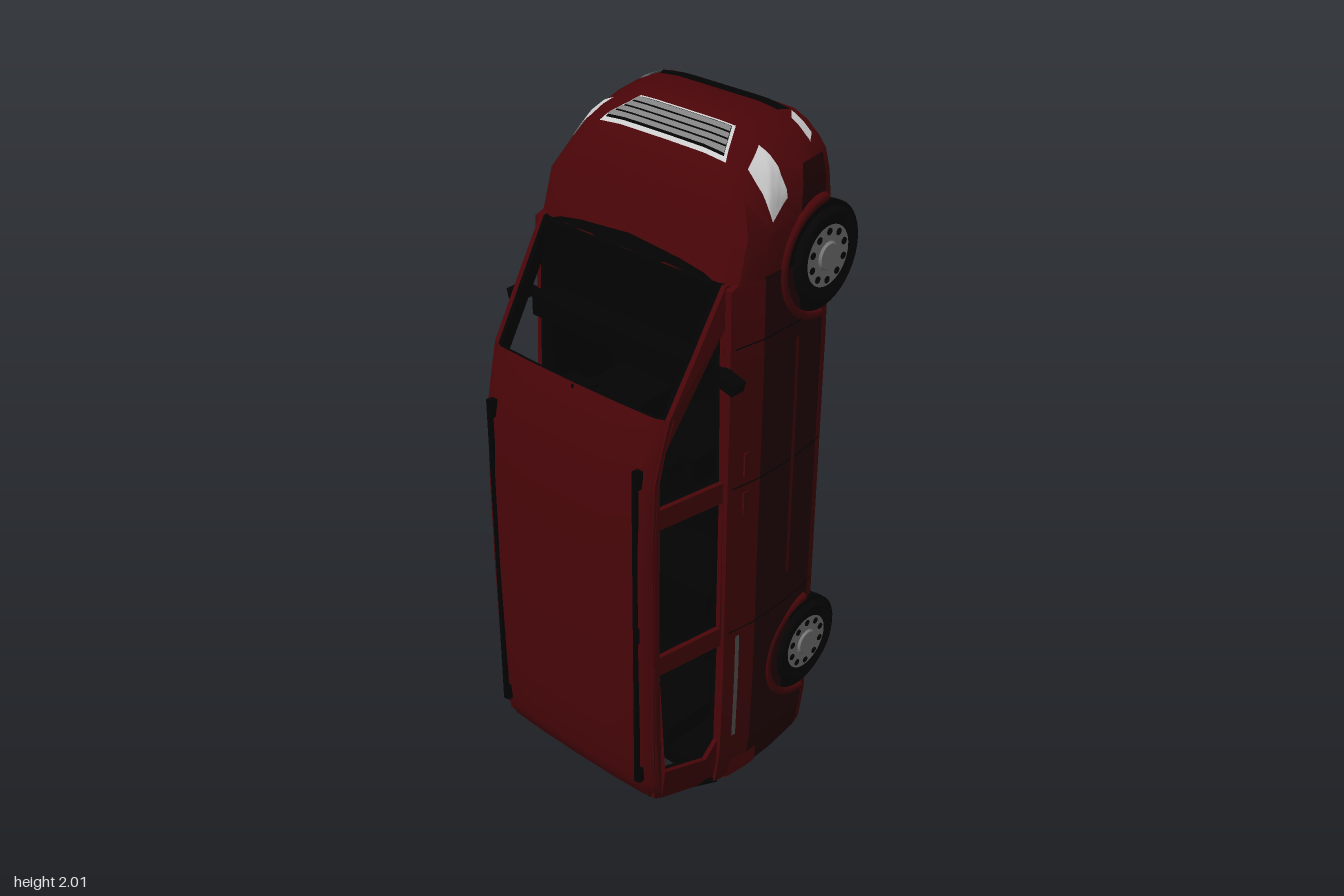
import * as THREE from 'three';
import { toCreasedNormals } from 'three/addons/utils/BufferGeometryUtils.js';

const paint = (name, color) => {
  const m = new THREE.MeshStandardMaterial({ color, side: THREE.DoubleSide });
  m.name = name;
  return m;
};
const { lerp, clamp } = THREE.MathUtils;

export function createModel() {
  const red = paint('bodyRed', 0x480508), darkRed = paint('sillDarkRed', 0x280305);
  const black = paint('trimBlack', 0x030303), tyreMat = paint('tyreBlack', 0x050505);
  const silver = paint('wheelSilver', 0x828282), railGrey = paint('railGrey', 0x5a5857);
  const lampMat = paint('lampWhite', 0xcacaca), lampRed = paint('tailLampRed', 0x58080a);
  const model = new THREE.Group();
  model.name = 'minivan';

  const add = (name, geo, mat, x = 0, y = 0, z = 0, parent = model) => {
    const mesh = new THREE.Mesh(geo, mat);
    mesh.name = name;
    mesh.position.set(x, y, z);
    parent.add(mesh);
    return mesh;
  };
  const box = (name, mat, w, h, d, x, y, z) => add(name, new THREE.BoxGeometry(w, h, d), mat, x, y, z);

  // Skin over a row of cross-sections; keep(i, j) picks the faces
  const skin = (rings, closed, keep = () => true) => {
    const pos = [], n = rings[0].length;
    for (let i = 0; i < rings.length - 1; i++) {
      for (let j = 0; j < (closed ? n : n - 1); j++) {
        if (!keep(i, j)) continue;
        const k = (j + 1) % n;
        const a = rings[i][j], b = rings[i][k], c = rings[i + 1][k], d = rings[i + 1][j];
        pos.push(...a, ...b, ...c, ...a, ...c, ...d);
      }
    }
    const geo = new THREE.BufferGeometry();
    geo.setAttribute('position', new THREE.Float32BufferAttribute(pos, 3));
    return toCreasedNormals(geo, 0.6);
  };

  // Lower body: length position, half width, bottom, top, open cabin?
  const stations = [
    [0.0, 0.12, -0.27, -0.215], [0.015, 0.2, -0.28, -0.2], [0.035, 0.28, -0.285, -0.19],
    [0.045, 0.312, -0.285, -0.17], [0.055, 0.325, -0.285, 0.0], [0.066, 0.336, -0.285, 0.105],
    [0.074, 0.34, -0.285, 0.105, 1], [0.105, 0.346, -0.285, 0.105, 1], [0.2, 0.358, -0.285, 0.105, 1],
    [0.45, 0.363, -0.285, 0.105, 1], [1.4, 0.363, -0.285, 0.105, 1], [1.66, 0.359, -0.285, 0.105, 1],
    [1.67, 0.358, -0.285, 0.11], [1.78, 0.355, -0.285, 0.078], [1.86, 0.345, -0.285, 0.043],
    [1.91, 0.33, -0.285, 0.008], [1.938, 0.305, -0.285, -0.025], [1.97, 0.262, -0.285, -0.1],
    [1.99, 0.22, -0.28, -0.14], [2.0, 0.14, -0.265, -0.165],
  ];
  const bodyRing = ([y, w, zb, zt, cabin]) => {
    const d = Math.min(0.035, 0.1 * (zt - zb));
    const pull = 0.17 * clamp((y - 1.78) / 0.14, 0, 1);
    const half = [
      [0, zb], [0.94 * w, zb], [0.965 * w, lerp(zb, zt, 0.08)],
      [w, Math.min(-0.08, lerp(zb, zt, 0.4))], [(1 - 0.6 * pull) * w, Math.min(0, lerp(zb, zt, 0.72))],
      ...(cabin
        ? [[0.95 * w, zt], [0.88 * w, zt], [0.87 * w, -0.15], [0, -0.15]]
        : [[(0.95 - pull) * w, zt - d], [(0.83 - pull) * w, zt - 0.35 * d], [0.45 * w, zt - 0.05 * d], [0, zt]]),
    ];
    const mirrored = half.slice(1, -1).reverse().map(([x, z]) => [-x, z]);
    return [...half, ...mirrored].map(([x, z]) => [x, y, z]);
  };
  const cap = ([y, , zb, zt]) => Array.from({ length: 16 }, () => [0, y, (zb + zt) / 2]);
  const last = stations.length - 1;
  const rings = [cap(stations[0]), ...stations.map(bodyRing), cap(stations[last])];
  const faceColor = (i, j) => {
    const k = j < 8 ? j : 15 - j;
    if (i === 0 || i > last) return red;
    const [from, to] = [stations[i - 1], stations[i]];
    if ((k === 0 && to[0] < 1.98) || (k >= 6 && (from[4] || to[4]))) return black;
    const sill = (k === 2 || k === 3) && from[0] > 0.05 && to[0] < 1.7;
    return sill || (k === 2 && from[0] > 1.6 && to[0] < 1.92) ? darkRed : red;
  };
  const targets = [['lowerBody', red], ['lowerSides', darkRed], ['floorAndCabinTub', black]]
    .map(([name, mat]) => add(name, skin(rings, true, (i, j) => faceColor(i, j) === mat), mat));

  // Cabin half width at a given height and length
  const cabinX = (z, y) => lerp(0.345, 0.305, (z - 0.1) / 0.245)
    - Math.max(0, 0.2 - y) * 0.25 - Math.max(0, y - 1.4) * 0.08;
  const loop = (pts, Type = THREE.Shape) => new Type(pts.map((p) => new THREE.Vector2(...p)));

  // Extruded frame whose vertices are moved by a rule
  const frame = (name, mat, outline, holes, depth, rule) => {
    const shape = loop(outline);
    shape.holes = holes.map((h) => loop(h, THREE.Path));
    const geo = new THREE.ExtrudeGeometry(shape, { depth, bevelEnabled: false });
    const p = geo.attributes.position;
    for (let i = 0; i < p.count; i++) p.setXYZ(i, ...rule(p.getX(i), p.getY(i), p.getZ(i)));
    geo.computeVertexNormals();
    return add(name, geo, mat);
  };

  // Side frames with three open windows and a dark lining
  const sideOutline = [[0.09, 0.068], [0.14, 0.078], [0.3, 0.125], [0.33, 0.142], [0.345, 0.3],
    [0.348, 1.0], [0.34, 1.2], [0.315, 1.3], [0.295, 1.37], [0.2, 1.52], [0.105, 1.67], [0.09, 1.67]];
  const sideWindows = [
    [[0.12, 1.12], [0.325, 1.12], [0.325, 1.22], [0.31, 1.28], [0.115, 1.56]],
    [[0.12, 0.65], [0.325, 0.65], [0.325, 1.06], [0.12, 1.06]],
    [[0.12, 0.25], [0.16, 0.2], [0.305, 0.235], [0.325, 0.59], [0.115, 0.59]],
  ];
  for (const s of [1, -1]) {
    targets.push(frame('sideWindowFrame', red, sideOutline, sideWindows, 0.014,
      (z, y, d) => [s * (cabinX(z, y) - d), y, z]));
    frame('pillarLining', black, sideOutline, sideWindows, 0.012,
      (z, y, d) => [s * (cabinX(z, y) - 0.0145 - d), y, z]);
  }

  // Tailgate frame with open rear window, dark reveal and lining
  const gate = (name, mat, w, z0, depth, inset) => frame(name, mat,
    [[-0.32, 0.09], [0.32, 0.09], [0.275, 0.325], [-0.275, 0.325]],
    [[[-w, z0], [w, z0], [w - 0.005, 0.305], [0.005 - w, 0.305]]], depth,
    (x, z, d) => [x, 0.06 + (z - 0.09) * 0.31 + inset + d, z]);
  gate('tailgateFrame', [red, black], 0.262, 0.12, 0.012, 0);
  gate('tailgateLining', black, 0.24, 0.14, 0.008, 0.0125);

  // Roof skin and dark headlining
  const roofLine = [[0.126, 0.325], [0.145, 0.345], [0.2, 0.36], [0.35, 0.372], [0.7, 0.378],
    [1.0, 0.377], [1.18, 0.367], [1.29, 0.343], [1.37, 0.315]];
  const roofRings = (drop) => roofLine.map(([y, z]) => {
    const w = cabinX(z - 0.03, y) + 0.002 - drop;
    return [[-1, 0.036], [-0.96, 0.018], [-0.87, 0.007], [-0.5, 0.002], [0, 0],
      [0.5, 0.002], [0.87, 0.007], [0.96, 0.018], [1, 0.036]].map(([t, d]) => [t * w, y, z - d - drop]);
  });
  add('roof', skin(roofRings(0), false), red);
  add('headlining', skin(roofRings(0.008), false), black);

  // Thin plate laid onto the body along a direction
  const ray = new THREE.Raycaster();
  const decal = (name, mat, corners, dir, off = 0.004, n = 8) => {
    const [a, b, c, d] = corners.map((p) => new THREE.Vector3(...p));
    const out = new THREE.Vector3(...dir).normalize();
    let reach = 0;
    const place = (u, v) => {
      const p = a.clone().lerp(b, u).lerp(d.clone().lerp(c, u), v);
      ray.set(p.clone().add(out), out.clone().negate());
      const hit = ray.intersectObjects(targets, false)[0];
      if (hit) reach = 1 - hit.distance;
      return p.addScaledVector(out, reach + off).toArray();
    };
    const steps = Array.from({ length: n + 1 }, (_, i) => i / n);
    return add(name, skin(steps.map((v) => steps.map((u) => place(u, v))), false), mat);
  };
  const nose = (name, mat, x0, x1, x2, x3, z0, z1, off) => decal(name, mat,
    [[x0, 1.95, z0], [x1, 1.95, z0], [x2, 1.95, z1], [x3, 1.95, z1]], [0, 1, 0], off, 12);

  // Grille with bars, and lower intake
  nose('grilleFrame', lampMat, -0.16, 0.16, 0.213, -0.213, -0.112, -0.014, 0.004);
  nose('grilleOpening', black, -0.154, 0.154, 0.2, -0.2, -0.105, -0.022, 0.007);
  for (let i = 0; i < 4; i++) {
    const z = -0.101 + i * 0.02, w = 0.155 + i * 0.0115;
    nose('grilleBar', silver, -w, w, w + 0.008, -w - 0.008, z, z + 0.015, 0.01);
  }
  nose('lowerIntake', black, -0.215, 0.215, 0.198, -0.198, -0.258, -0.226, 0.005);

  for (const s of [1, -1]) {
    // Cowl and lamps
    const cowlEdge = [[0, 1.712], [0.17, 1.698], [0.25, 1.683], [0.305, 1.66]];
    for (let i = 0; i < 3; i++) {
      const [[x0, y0], [x1, y1]] = [cowlEdge[i], cowlEdge[i + 1]];
      decal('cowl', black, [[s * x0, 1.65, 0.1], [s * x1, 1.65, 0.1], [s * x1, y1, 0.1], [s * x0, y0, 0.1]], [0, 0, 1]);
    }
    decal('headlight', lampMat, [[s * 0.236, 1.945, -0.1], [s * 0.266, 1.915, -0.033],
      [s * 0.334, 1.785, -0.033], [s * 0.342, 1.845, -0.1]], [s, 1, 0]);
    nose('fogLight', lampMat, s * 0.218, s * 0.285, s * 0.302, s * 0.24, -0.256, -0.23, 0.006);
    decal('tailLight', lampRed, [[s * 0.28, 0.055, -0.06], [s * 0.28, 0.065, 0.07],
      [s * 0.35, 0.14, 0.06], [s * 0.35, 0.14, -0.04]], [s, -1, 0]);
    decal('reverseLight', lampMat, [[s * 0.24, 0.05, -0.05], [s * 0.295, 0.05, -0.05],
      [s * 0.295, 0.05, -0.02], [s * 0.24, 0.05, -0.02]], [0, -1, 0], 0.007);

    // Door seams, sliding rail, handles and moulding
    const side = (name, mat, y0, y1, z0, z1, off) => decal(name, mat,
      [[s * 0.36, y0, z0], [s * 0.36, y1, z0], [s * 0.36, y1, z1], [s * 0.36, y0, z1]], [s, 0, 0], off);
    for (const y of [1.5, 1.09, 0.62]) side('doorSeam', black, y - 0.002, y + 0.002, -0.27, 0.09, 0.002);
    side('slidingDoorRail', railGrey, 0.24, 0.6, 0.054, 0.068, 0.004);
    side('sideMoulding', red, 0.72, 1.46, -0.14, -0.125, 0.006);
    for (const y of [1.03, 1.15]) box('doorHandle', red, 0.012, 0.07, 0.018, s * 0.353, y, 0.045);

    // Roof rails and door mirrors
    box('roofRail', black, 0.012, 1.02, 0.012, s * 0.265, 0.73, 0.37);
    for (const y of [0.24, 0.73, 1.21]) box('roofRailFoot', black, 0.02, 0.05, 0.02, s * 0.265, y, 0.36);
    box('doorMirror', black, 0.058, 0.03, 0.045, s * 0.374, 1.437, 0.14).rotation.z = -s * 0.25;
    box('mirrorArm', black, 0.04, 0.02, 0.02, s * 0.338, 1.445, 0.122);

    // Wheels with arches
    for (const y of [1.648, 0.413]) {
      const well = new THREE.CylinderGeometry(0.148, 0.148, 0.02, 40).rotateZ(Math.PI / 2);
      add('wheelWell', well, black, s * 0.349, y, -0.23);
      const arch = new THREE.TorusGeometry(0.16, 0.014, 8, 32, Math.PI).rotateZ(-Math.PI / 2).rotateY(-Math.PI / 2);
      add('wheelArch', arch, red, s * 0.354, y, -0.235);

      const wheel = new THREE.Group();
      wheel.name = 'wheel';
      wheel.position.set(s * 0.306, y, -0.241);
      wheel.rotation.z = -s * Math.PI / 2;
      model.add(wheel);
      const profile = loop([[0.084, -0.058], [0.116, -0.066], [0.132, -0.052], [0.138, -0.03],
        [0.138, 0.03], [0.132, 0.052], [0.116, 0.066], [0.084, 0.062]]).getPoints();
      add('tyre', toCreasedNormals(new THREE.LatheGeometry(profile, 40), 0.7), tyreMat, 0, 0, 0, wheel);
      add('rim', new THREE.CylinderGeometry(0.086, 0.086, 0.124, 36), silver, 0, 0, 0, wheel);
      add('hub', new THREE.CylinderGeometry(0.034, 0.042, 0.008, 24), silver, 0, 0.064, 0, wheel);
      for (let i = 0; i < 10; i++) {
        const a = (i / 10) * Math.PI * 2;
        add('rimSlot', new THREE.CylinderGeometry(0.01, 0.01, 0.004, 10), black,
          Math.cos(a) * 0.067, 0.062, Math.sin(a) * 0.067, wheel);
      }
    }

    // Front seats
    box('frontSeatBack', black, 0.2, 0.07, 0.26, s * 0.15, 1.12, 0.0);
    box('frontHeadrest', black, 0.12, 0.035, 0.065, s * 0.15, 1.125, 0.15);
  }

  // Cabin fittings
  box('rearBench', black, 0.44, 0.06, 0.31, 0, 0.23, 0.033);
  box('middleBench', black, 0.5, 0.07, 0.22, 0, 0.65, -0.04);
  box('dashboard', black, 0.6, 0.2, 0.2, 0, 1.565, 0.012);
  box('dashboardTop', black, 0.56, 0.06, 0.085, 0, 1.448, 0.143);
  const steering = new THREE.TorusGeometry(0.055, 0.007, 8, 28).rotateX(Math.PI / 2 - 0.6);
  add('steeringWheel', steering, black, -0.17, 1.4, 0.1);
  box('rearViewMirror', black, 0.09, 0.012, 0.03, 0, 1.36, 0.283);
  box('rearViewMirrorStem', black, 0.008, 0.01, 0.03, 0, 1.36, 0.305);
  return model;
}
